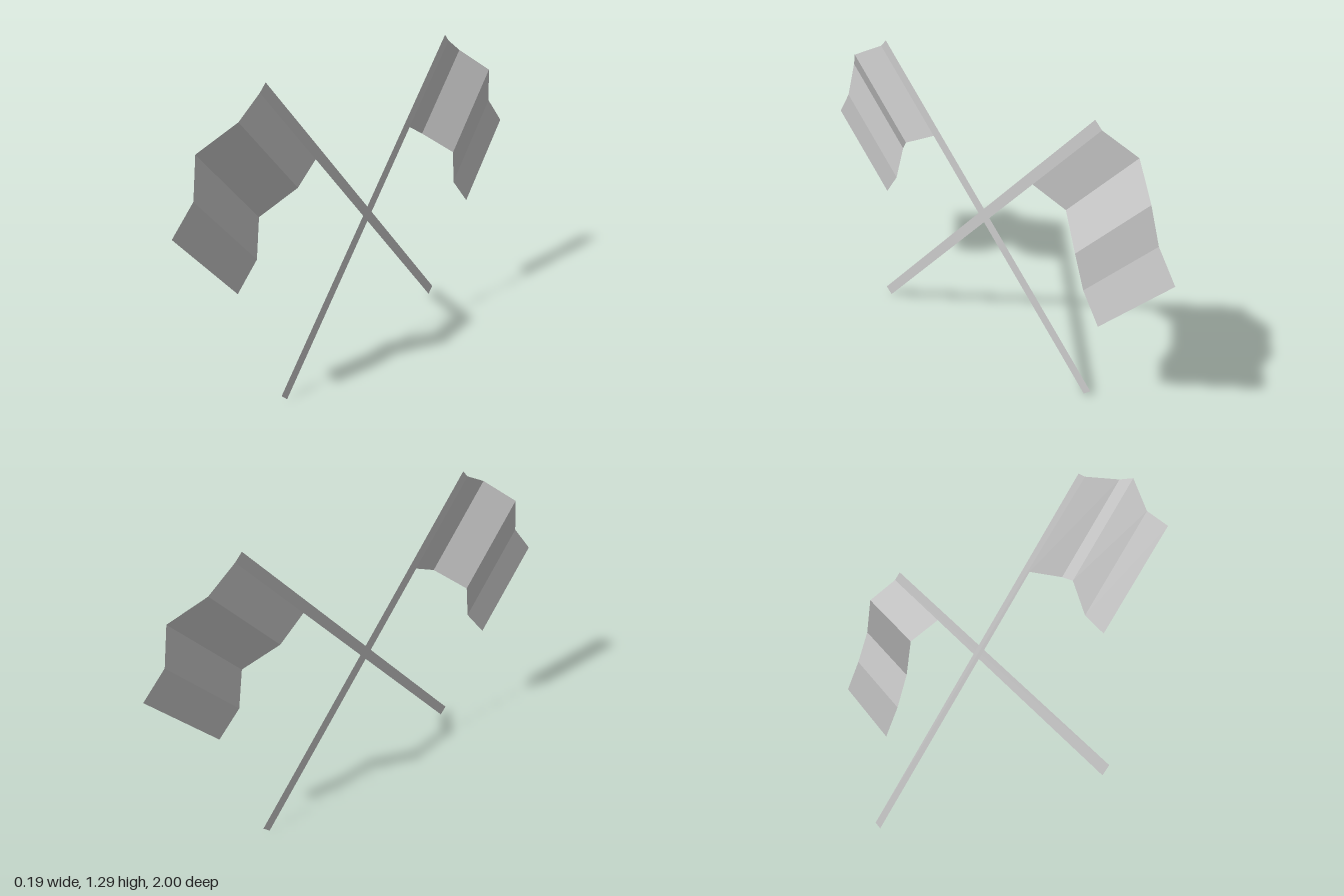
import * as THREE from 'three';

const material = new THREE.MeshStandardMaterial({
  color: 0xcccccc, flatShading: true, side: THREE.DoubleSide,
});

// Sheet swept from a top edge [x, y, z] along a straight drop vector
function sheet(name, topEdge, drop) {
  const positions = [];
  const index = [];
  topEdge.forEach(([x, y, z], i) => {
    positions.push(x, y, z, x + drop[0], y + drop[1], z + drop[2]);
    if (i > 0) {
      const a = 2 * (i - 1);
      index.push(a, a + 1, a + 2, a + 1, a + 3, a + 2);
    }
  });
  const geometry = new THREE.BufferGeometry();
  geometry.setAttribute('position', new THREE.Float32BufferAttribute(positions, 3));
  geometry.setIndex(index);
  const flat = geometry.toNonIndexed();
  flat.computeVertexNormals();
  const mesh = new THREE.Mesh(flat, material);
  mesh.name = name;
  return mesh;
}

function createFlag(name) {
  const flag = new THREE.Group();
  flag.name = name;
  const poleX = -0.025;

  // Flat pole leaning outward
  flag.add(sheet('pole', [
    [poleX, 1.291, 0.569],
    [poleX, 1.26, 0.601],
  ], [0, -1.255, -1.17]));

  // Rippling cloth hanging from the pole's outer edge
  flag.add(sheet('cloth', [
    [poleX, 1.26, 0.601],
    [0.003, 1.19, 0.747],
    [-0.09, 1.088, 0.869],
    [-0.075, 0.93, 0.907],
    [-0.095, 0.815, 1.0],
  ], [0, -0.328, -0.306]));
  return flag;
}

export function createModel() {
  const model = new THREE.Group();
  model.name = 'crossedFlags';

  // Two identical flags, half a turn apart
  const front = createFlag('frontFlag');
  const back = createFlag('backFlag');
  back.rotation.y = Math.PI;
  model.add(front, back);
  return model;
}
